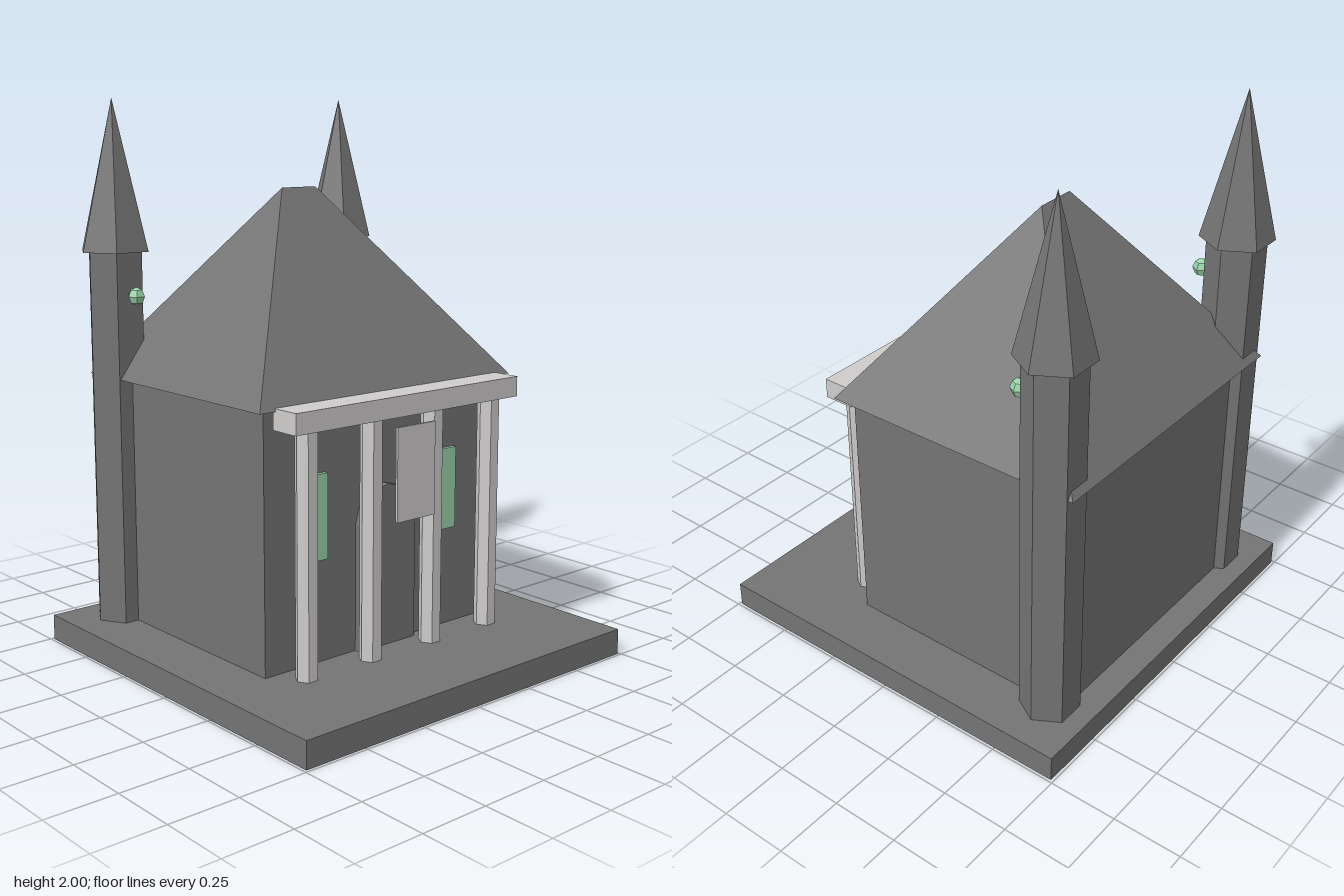
import * as THREE from 'three';

export function createModel() {
  const model = new THREE.Group();
  model.name = 'chapel';

  const material = (name, color) => {
    const m = new THREE.MeshStandardMaterial({ color, flatShading: true });
    m.name = name;
    return m;
  };
  const stone = material('dark stone', 0x747474);
  const trim = material('pale stone', 0xcfcccc);
  const glow = material('green glow', 0x98d3a8);

  const add = (name, geometry, mat, x = 0, y = 0, z = 0) => {
    const mesh = new THREE.Mesh(geometry, mat);
    mesh.name = name;
    mesh.position.set(x, y, z);
    model.add(mesh);
    return mesh;
  };
  // Box given by its lower and upper corners
  const box = (name, mat, [x0, y0, z0], [x1, y1, z1]) =>
    add(name, new THREE.BoxGeometry(x1 - x0, y1 - y0, z1 - z0), mat,
      (x0 + x1) / 2, (y0 + y1) / 2, (z0 + z1) / 2);
  // Six-sided column with corners pointing along x
  const hexColumn = (name, mat, rTop, rBottom, y0, y1, x, z) =>
    add(name, new THREE.CylinderGeometry(rTop, rBottom, y1 - y0, 6, 1, false, Math.PI / 6),
      mat, x, (y0 + y1) / 2, z);

  const floor = 0.095, eaves = 1.005;

  // Plinth and hall
  box('plinth', stone, [-0.74, 0, -0.74], [0.74, floor, 0.74]);
  box('hall', stone, [-0.53, floor, -0.635], [0.53, eaves, 0.275]);

  // Hipped roof: a box whose top is pinched into a short ridge
  const roof = new THREE.BoxGeometry(1.16, 0.68, 1.01);
  const p = roof.attributes.position;
  for (let i = 0; i < p.count; i++) {
    if (p.getY(i) > 0) {
      p.setX(i, Math.sign(p.getX(i)) * 0.077);
      p.setZ(i, 0);
    }
  }
  roof.computeVertexNormals();
  add('roof', roof, stone, 0, eaves + 0.34, -0.183);

  // Rear towers with spires and lamps, and front windows
  for (const side of [-1, 1]) {
    const x = side * 0.531;
    hexColumn('towerShaft', stone, 0.106, 0.106, floor, 1.46, x, -0.577);
    hexColumn('towerSpire', stone, 0, 0.133, 1.46, 2, x, -0.577);
    add('towerLamp', new THREE.SphereGeometry(0.033, 6, 4), glow, x, 1.307, -0.445);
    const w = side * 0.305;
    box('window', glow, [w - 0.037, 0.46, 0.27], [w + 0.037, 0.76, 0.29]);
  }

  // Arched door
  const door = new THREE.Shape();
  door.moveTo(-0.13, 0);
  door.lineTo(0.13, 0);
  for (let i = 0; i <= 6; i++) {
    const a = (i * Math.PI) / 6;
    door.lineTo(0.13 * Math.cos(a), 0.455 + 0.13 * Math.sin(a));
  }
  add('door', new THREE.ExtrudeGeometry(door, { depth: 0.03, bevelEnabled: false }),
    stone, 0, floor, 0.27);

  // Porch
  for (let i = 0; i < 4; i++) {
    hexColumn('porchColumn', trim, 0.04, 0.04, floor, 0.945, -0.426 + i * 0.284, 0.366);
  }
  box('porchLintel', trim, [-0.515, 0.942, 0.308], [0.515, 1.015, 0.423]);
  box('hangingPanel', trim, [-0.088, 0.583, 0.43], [0.088, 0.912, 0.439]);

  return model;
}
